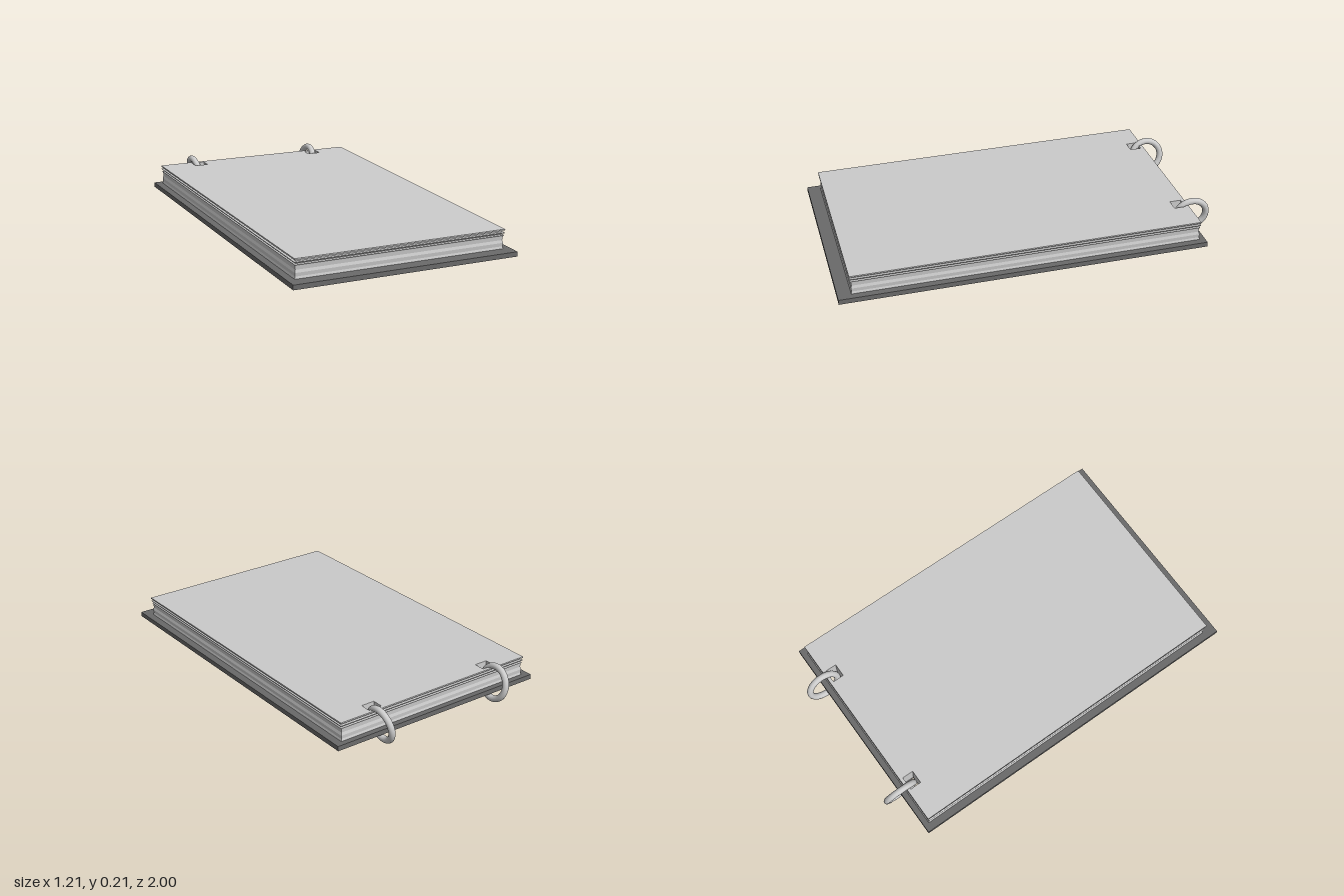
import * as THREE from 'three';

const TILT = 0.0285;
const BOARD_H = 0.025;
const HOLE = { x: 0.355, w: 0.036, d0: 1.797, d1: 1.857 };

const paperMat = new THREE.MeshStandardMaterial({ color: 0xcccccc, side: THREE.DoubleSide });
const boardMat = new THREE.MeshStandardMaterial({ color: 0x6a6a6a });
const ringMat = new THREE.MeshStandardMaterial({ color: 0xcccccc });

// Corners of a rectangle; d is the distance back from the front edge
const corners = (x0, x1, d0, d1) => [[x0, d0], [x1, d0], [x1, d1], [x0, d1]];
const holeCorners = (s) => corners(s * HOLE.x - HOLE.w, s * HOLE.x + HOLE.w, HOLE.d0, HOLE.d1);
const toVectors = (pts) => pts.map(([x, d]) => new THREE.Vector2(x, d));

// Sheet outline with the two ring holes
function punchedShape(x, d0, d1) {
  const shape = new THREE.Shape(toVectors(corners(-x, x, d0, d1)));
  for (const s of [-1, 1]) shape.holes.push(new THREE.Path(toVectors(holeCorners(s).reverse())));
  return shape;
}

// Four-sided wall through rectangles given as [height, corner list]
function walls(loops, inward = false) {
  const pos = [];
  for (let i = 0; i < loops.length - 1; i++) {
    const [ya, a] = loops[i];
    const [yb, b] = loops[i + 1];
    for (let k = 0; k < 4; k++) {
      const n = (k + 1) % 4;
      const p = [a[k][0], ya, -a[k][1]], q = [a[n][0], ya, -a[n][1]];
      const r = [b[n][0], yb, -b[n][1]], t = [b[k][0], yb, -b[k][1]];
      pos.push(...(inward ? [p, r, q, p, t, r] : [p, q, r, p, r, t]).flat());
    }
  }
  const g = new THREE.BufferGeometry();
  g.setAttribute('position', new THREE.Float32BufferAttribute(pos, 3));
  g.computeVertexNormals();
  return g;
}

function addMesh(parent, name, geometry, material) {
  const m = new THREE.Mesh(geometry, material);
  m.name = name;
  parent.add(m);
  return m;
}

export function createModel() {
  const model = new THREE.Group();
  model.name = 'ringPad';

  // Board and pages rise towards the rings at the back
  const pad = new THREE.Group();
  pad.name = 'pad';
  pad.position.z = 1;
  pad.rotation.x = TILT;
  model.add(pad);

  // Backing board
  const board = new THREE.ExtrudeGeometry(punchedShape(0.605, 0, 1.9), { depth: BOARD_H, bevelEnabled: false });
  board.rotateX(-Math.PI / 2);
  addMesh(pad, 'backingBoard', board, boardMat);

  // Ruffled page edges: [height, inset]
  const profile = [
    [0, 0.004], [0.012, 0.007], [0.03, 0.005], [0.044, 0.009], [0.064, 0.007],
    [0.070, 0.003], [0.073, 0.012], [0.077, 0.010], [0.080, 0.002], [0.084, 0.001],
    [0.086, 0.012], [0.093, 0.012], [0.095, 0], [0.102, 0],
  ];
  const X = 0.57, D0 = 0.065, D1 = 1.875;
  const edgeLoops = profile.map(([h, i]) => [BOARD_H + h, corners(-X + i, X - i, D0 + i, D1 - i)]);
  addMesh(pad, 'pageEdges', walls(edgeLoops), paperMat);

  // Top page
  const topY = BOARD_H + 0.102;
  const page = new THREE.ShapeGeometry(punchedShape(X, D0, D1));
  page.rotateX(-Math.PI / 2);
  addMesh(pad, 'topPage', page, paperMat).position.y = topY;

  // Inside of the punched holes, and the rings leaning outwards through them
  for (const s of [-1, 1]) {
    const side = s > 0 ? 'left' : 'right';
    const c = holeCorners(s);
    addMesh(pad, side + 'PunchedHole', walls([[BOARD_H, c], [topY, c]], true), paperMat);

    const torus = new THREE.TorusGeometry(0.083, 0.017, 14, 48);
    torus.rotateY(Math.PI / 2);
    const ring = addMesh(model, side + 'Ring', torus, ringMat);
    ring.position.set(s * 0.355, 0.113, -0.898);
    ring.rotation.z = -s * 0.18;
  }
  return model;
}
